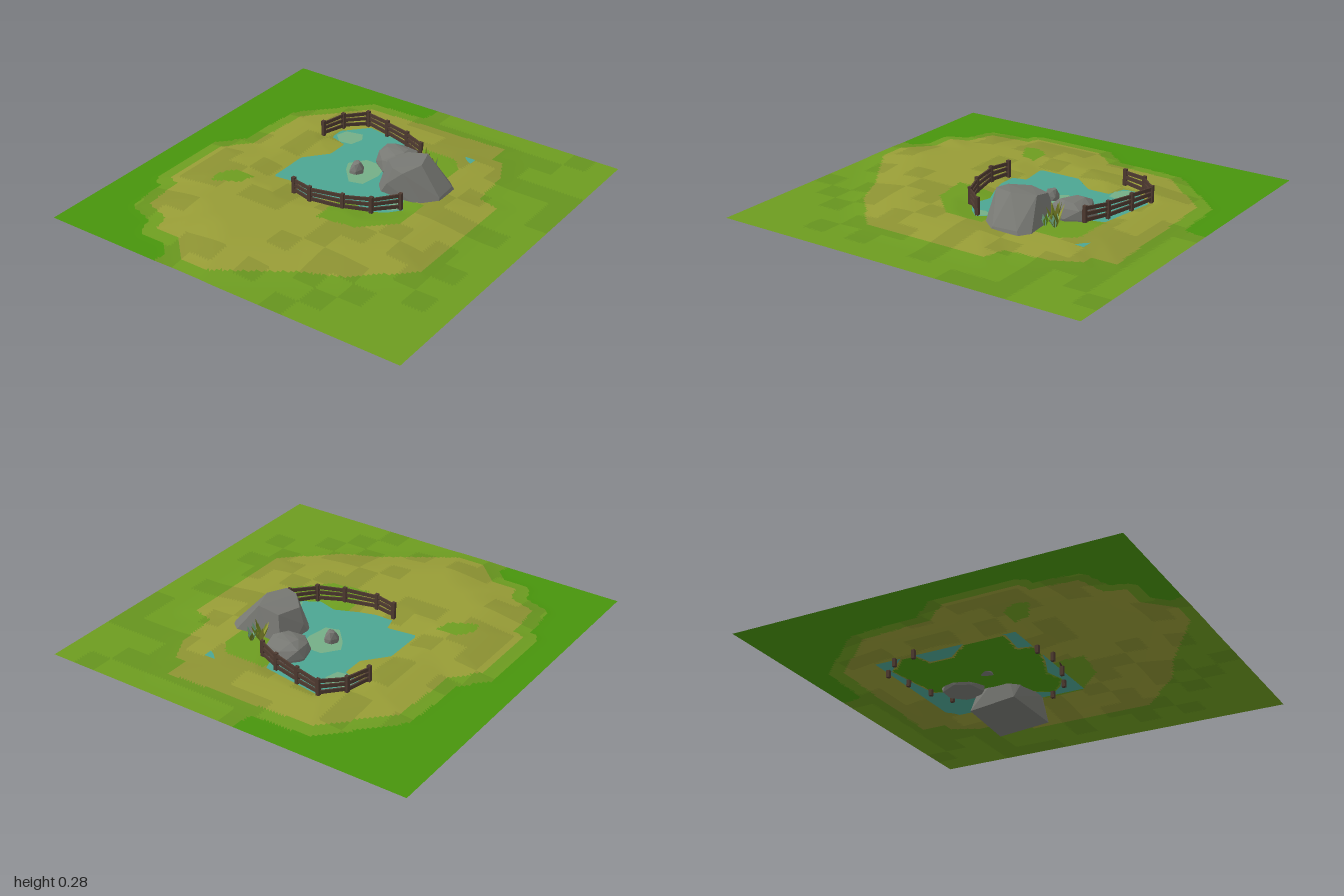
import * as THREE from 'three';
import { ConvexGeometry } from 'three/addons/geometries/ConvexGeometry.js';

const material = (name, color, side = THREE.FrontSide, flatShading = false) => {
  const m = new THREE.MeshStandardMaterial({ color, side, flatShading });
  m.name = name;
  return m;
};

// Ground outlines as [x, z] corners
const MEADOW = [[-0.4, -0.78], [0, -0.78], [0.12, -0.67], [0.5, -0.65], [0.8, -0.38], [0.83, 0.43],
  [0.7, 0.43], [0.7, 0.5], [0.55, 0.57], [0.33, 0.58], [0.3, 0.7], [-0.38, 0.7], [-0.62, 0.43],
  [-0.7, 0.25], [-0.8, 0.1], [-0.93, -0.1], [-0.93, -0.25], [-0.8, -0.38], [-0.8, -0.52],
  [-0.7, -0.55], [-0.65, -0.7], [-0.42, -0.72]];
const POND = [[-0.1, -0.36], [0.13, -0.36], [0.25, -0.26], [0.37, -0.26], [0.4, -0.36], [0.48, -0.36],
  [0.6, -0.25], [0.55, 0.07], [0.48, 0.09], [0.36, 0.16], [0.2, 0.27], [0.08, 0.3], [0, 0.35],
  [-0.06, 0.3], [-0.11, 0.22], [-0.08, 0.12], [-0.13, 0], [-0.16, -0.1], [-0.16, -0.18], [-0.08, -0.2]];
const BANKS = [
  [[-0.31, 0.06], [-0.1, 0.05], [0, 0.3], [0.1, 0.3], [0.08, 0.42], [-0.12, 0.42], [-0.28, 0.26]],
  [[0.3, 0.2], [0.46, 0.07], [0.56, 0.08], [0.56, 0.3], [0.48, 0.37], [0.3, 0.37]],
  [[-0.34, -0.57], [-0.26, -0.59], [-0.18, -0.52], [-0.18, -0.42], [-0.27, -0.44]],
];
const WATER_Y = 0.12;

// Signed distance to an outline, positive inside
function inside(poly, x, z) {
  let best = Infinity, within = false;
  poly.forEach(([ax, az], i) => {
    const [bx, bz] = poly[(i + 1) % poly.length];
    const dx = bx - ax, dz = bz - az;
    const t = THREE.MathUtils.clamp(((x - ax) * dx + (z - az) * dz) / (dx * dx + dz * dz), 0, 1);
    best = Math.min(best, Math.hypot(x - ax - t * dx, z - az - t * dz));
    if ((az > z) !== (bz > z) && x < ax + (z - az) / dz * dx) within = !within;
  });
  return within ? best : -best;
}

// Low mound with a sunken pond basin
function groundHeight(x, z) {
  const rise = 0.036 - 0.01 * x - 0.006 * z;
  const hill = 0.098 + rise * THREE.MathUtils.smoothstep(inside(MEADOW, x, z), -0.12, 0.24);
  return Math.min(hill, Math.max(0.102, WATER_Y - 0.15 * inside(POND, x, z)));
}

// Patchwork of square tiles in two close shades
function isShadedTile(x, z) {
  const s = Math.sin(Math.floor(x * 8) * 12.99 + Math.floor(z * 8) * 78.23) * 43758.5;
  return s - Math.floor(s) < 0.4;
}

// 0 light grass, 1 shaded grass, 2 dark grass, 3 meadow, 4 shaded meadow
function groundKind(x, z) {
  const d = inside(MEADOW, x, z);
  const shaded = isShadedTile(x, z);
  if (inside(POND, x, z) > 0.01) return 2;
  if (BANKS.some((b) => inside(b, x, z) > 0)) return 0;
  if (d > 0) return shaded ? 4 : 3;
  if (d < -0.07 && z < -0.22 + 0.14 * x) return 2;
  return shaded ? 1 : 0;
}

function groundGeometry() {
  const geo = new THREE.PlaneGeometry(2, 2, 120, 120).rotateX(-Math.PI / 2);
  const pos = geo.attributes.position;
  for (let i = 0; i < pos.count; i++) pos.setY(i, groundHeight(pos.getX(i), pos.getZ(i)));
  const buckets = [[], [], [], [], []];
  const idx = geo.index.array;
  for (let i = 0; i < idx.length; i += 3) {
    const tri = [idx[i], idx[i + 1], idx[i + 2]];
    const cx = tri.reduce((s, v) => s + pos.getX(v), 0) / 3;
    const cz = tri.reduce((s, v) => s + pos.getZ(v), 0) / 3;
    buckets[groundKind(cx, cz)].push(...tri);
  }
  geo.setIndex(buckets.flat());
  let start = 0;
  buckets.forEach((b, i) => { geo.addGroup(start, b.length, i); start += b.length; });
  geo.computeVertexNormals();
  return geo;
}

export function createModel() {
  const model = new THREE.Group();
  const D = THREE.DoubleSide;
  const grass = material('light grass', 0x6d9c20, D);
  const grassShade = material('shaded grass', 0x66931e, D);
  const grassDark = material('dark grass', 0x48940c, D);
  const meadow = material('meadow', 0x979c36, D);
  const meadowShade = material('shaded meadow', 0x8c9232, D);
  const water = material('water', 0x4ca592, D);
  const shallow = material('shallow water', 0x74ae86, D);
  const stone = material('stone', 0x777873, THREE.FrontSide, true);
  const wood = material('wood', 0x4e3a30);
  const leaf = material('leaf', 0x6f7f22, D);

  const add = (name, geo, mat, parent = model) => {
    const mesh = new THREE.Mesh(geo, mat);
    mesh.name = name;
    parent.add(mesh);
    return mesh;
  };
  const group = (name) => {
    const g = new THREE.Group();
    g.name = name;
    model.add(g);
    return g;
  };

  add('ground', groundGeometry(), [grass, grassShade, grassDark, meadow, meadowShade]);

  // Water sheet reaching under the banks
  add('water', new THREE.PlaneGeometry(0.78, 0.74).rotateX(-Math.PI / 2), water).position.set(0.235, WATER_Y, 0.01);

  // Pale shallow patches
  const patches = [
    [[0.07, -0.02], [0.16, -0.1], [0.22, -0.13], [0.3, -0.07], [0.3, 0.05], [0.2, 0.07], [0.09, 0.05]],
    [[0.38, -0.3], [0.43, -0.35], [0.49, -0.33], [0.51, -0.24], [0.46, -0.21], [0.39, -0.23]],
    [[-0.05, 0.29], [0, 0.27], [0.04, 0.29], [0.04, 0.32], [0, 0.345]],
  ];
  for (const p of patches) {
    const shape = new THREE.Shape(p.map(([x, z]) => new THREE.Vector2(x, -z)));
    add('shallowPatch', new THREE.ShapeGeometry(shape).rotateX(-Math.PI / 2), shallow).position.y = WATER_Y + 0.002;
  }

  // Faceted boulders
  const hull = (name, pts) => add(name, new ConvexGeometry(pts.map((p) => new THREE.Vector3(...p))), stone);
  hull('largeRock', [
    [0.1, 0.02, 0.48], [0.39, 0, 0.49], [0.36, 0, 0.12], [0.1, 0.02, 0.1],
    [0.08, 0.12, 0.36], [0.17, 0.14, 0.45], [0.3, 0.14, 0.44], [0.34, 0.15, 0.3], [0.33, 0.14, 0.18],
    [0.19, 0.17, 0.11], [0.08, 0.18, 0.2], [0.08, 0.265, 0.29], [0.19, 0.275, 0.33],
    [0.31, 0.272, 0.29], [0.3, 0.25, 0.18], [0.18, 0.25, 0.14], [0.1, 0.265, 0.22],
  ]);
  // Rings are [radius, height]; each rock has uneven sides
  const boulder = (name, cx, cz, sides, rings) => hull(name, rings.flatMap(([r, y], k) =>
    Array.from({ length: sides }, (_, i) => {
      const a = (i + 0.25 * k + 0.3) / sides * Math.PI * 2;
      const rr = r * (1 + 0.07 * Math.sin(i * 2.4 + k));
      return [cx + Math.cos(a) * rr, y + 0.006 * Math.sin(i * 1.7), cz + Math.sin(a) * rr];
    })));
  boulder('mediumRock', 0.37, 0.07, 7, [[0.1, 0.085], [0.116, 0.13], [0.1, 0.175], [0.055, 0.197]]);
  boulder('smallRock', 0.175, -0.045, 6, [[0.036, 0.1], [0.037, 0.14], [0.022, 0.172]]);

  // Fences: a post at each point and three rails between neighbours
  const fence = (name, pts) => {
    const g = group(name);
    pts.forEach(([x, z], i) => {
      add('post', new THREE.BoxGeometry(0.018, 0.13, 0.018), wood, g).position.set(x, 0.147, z);
      if (i === pts.length - 1) return;
      const [nx, nz] = pts[i + 1];
      const length = Math.hypot(nx - x, nz - z);
      [0.14, 0.169, 0.196].forEach((y, k) => {
        const rail = add('rail', new THREE.BoxGeometry(length + 0.012, 0.018, 0.008), wood, g);
        rail.position.set((x + nx) / 2, y, (z + nz) / 2);
        rail.rotation.set(0, -Math.atan2(nz - z, nx - x), (k - 1) * 0.03, 'YXZ');
      });
    });
  };
  fence('rightFence', [[-0.175, -0.175], [-0.2, -0.06], [-0.165, 0.11], [-0.11, 0.24], [0, 0.335]]);
  fence('leftFence', [[0.38, -0.4], [0.51, -0.365], [0.605, -0.27], [0.575, -0.13], [0.535, 0.02], [0.48, 0.14]]);

  // Reeds beside the rocks, as leaning pointed blades
  const blade = new THREE.ShapeGeometry(new THREE.Shape(
    [[-0.004, 0], [0.004, 0], [0.013, 0.5], [0, 1], [-0.013, 0.5]].map((p) => new THREE.Vector2(...p))));
  const reeds = group('reeds');
  const clumps = [[0.375, 0.23, 0.13, 9, [leaf, meadow]], [0.4, 0.27, 0.085, 6, [shallow, leaf]], [0.35, 0.28, 0.08, 5, [shallow, grass]]];
  for (const [x, z, height, count, mats] of clumps) {
    for (let i = 0; i < count; i++) {
      const b = add('blade', blade, mats[i % 2], reeds);
      b.position.set(x, 0.118, z);
      b.rotation.set(0.25 + 0.3 * (i % 3) / 2, i * 2.4, 0, 'YXZ');
      b.scale.set(1, height * (1 - 0.12 * (i % 3)), 1);
    }
  }
  return model;
}
